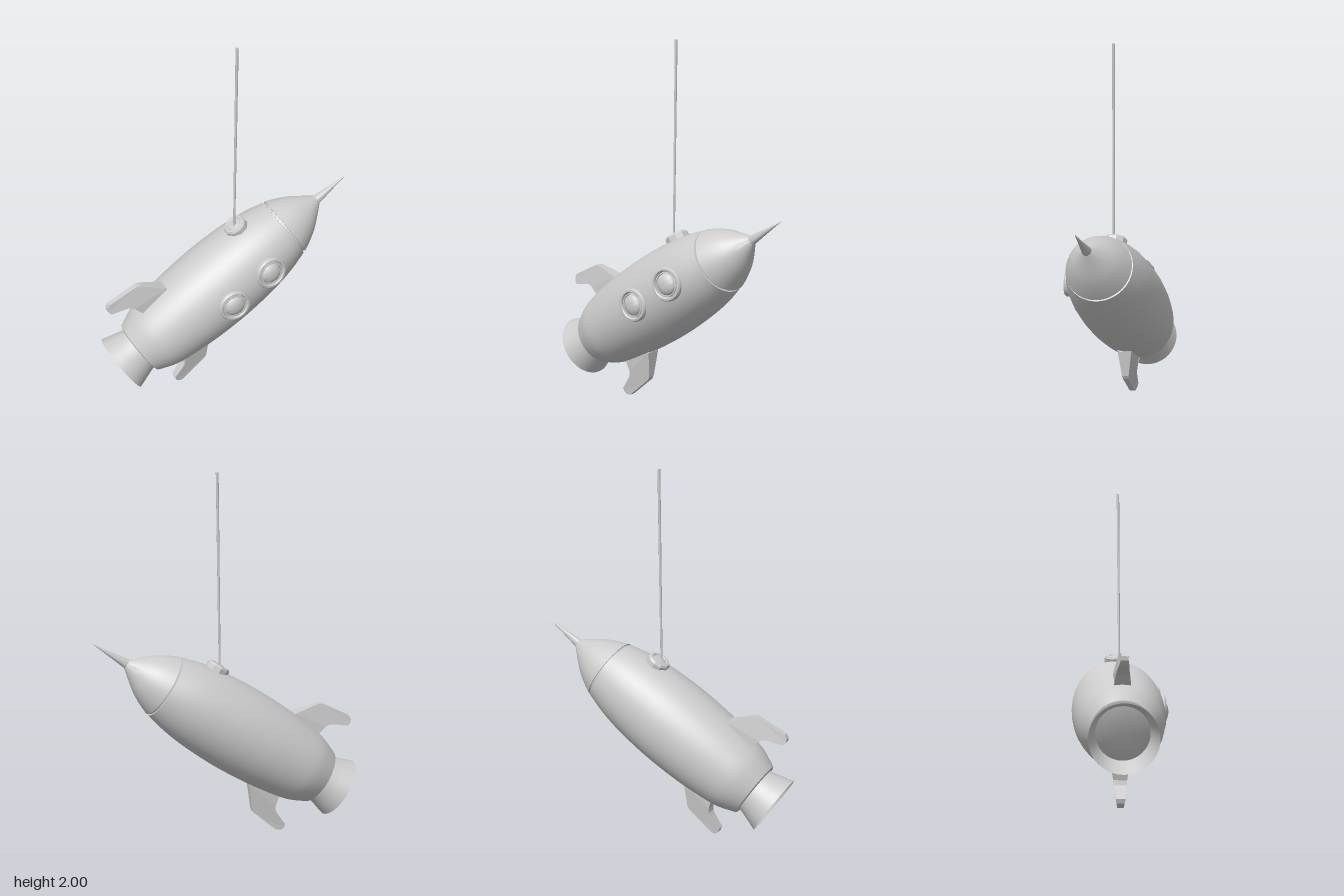
import * as THREE from 'three';
import { toCreasedNormals } from 'three/addons/utils/BufferGeometryUtils.js';

const grey = new THREE.MeshStandardMaterial({ color: 0xcccccc });
const greyDouble = new THREE.MeshStandardMaterial({ color: 0xcccccc, side: THREE.DoubleSide });

function part(name, geometry, material = grey) {
  const mesh = new THREE.Mesh(geometry, material);
  mesh.name = name;
  return mesh;
}

const vectors = (pts) => pts.map(([x, y]) => new THREE.Vector2(x, y));
const smooth = (pts, n) => new THREE.SplineCurve(vectors(pts)).getPoints(n).map((p) => [p.x, p.y]);

// Turned part from [radius, height] points, with sharp edges kept sharp
function turned(name, pts, segments = 40, material = grey) {
  return part(name, toCreasedNormals(new THREE.LatheGeometry(vectors(pts), segments), 0.5), material);
}

// Swept-back fin, thick at the root and thin at the tip
function finGeometry() {
  const outline = vectors([
    [0.17, 0.295], [0.22, 0.28], [0.265, 0.268], [0.287, 0.252], [0.298, 0.232], [0.329, 0.156],
    [0.35, 0.151], [0.37, 0.159], [0.382, 0.18], [0.378, 0.215], [0.36, 0.355], [0.35, 0.373],
    [0.235, 0.466], [0.17, 0.47],
  ]);
  const geo = new THREE.ExtrudeGeometry(new THREE.Shape(outline), { depth: 1, bevelEnabled: false });
  geo.translate(0, 0, -0.5);
  const pos = geo.attributes.position;
  for (let i = 0; i < pos.count; i++) {
    const t = THREE.MathUtils.clamp((pos.getX(i) - 0.23) / 0.14, 0, 1);
    pos.setZ(i, pos.getZ(i) * THREE.MathUtils.lerp(0.082, 0.032, t));
  }
  geo.computeVertexNormals();
  return geo;
}

export function createModel() {
  const model = new THREE.Group();
  model.name = 'hangingRocket';

  // Rocket frame: y runs from nozzle to tip, z to the windows, -x to the hanger
  const rocket = new THREE.Group();
  rocket.name = 'rocket';
  const axis = new THREE.Vector3(0.803, 0.543, 0.245).normalize();
  const side = new THREE.Vector3(-0.292, 0, 0.957).normalize();
  const across = new THREE.Vector3().crossVectors(axis, side).normalize();
  side.crossVectors(across, axis);
  rocket.quaternion.setFromRotationMatrix(new THREE.Matrix4().makeBasis(across, axis, side));
  rocket.position.set(-0.61, 0.225, -0.158);
  model.add(rocket);

  // Hull with closed tail
  const hull = smooth([
    [0.16, 0.135], [0.188, 0.2], [0.207, 0.26], [0.222, 0.36], [0.236, 0.5], [0.242, 0.66],
    [0.239, 0.8], [0.227, 0.95], [0.207, 1.07], [0.18, 1.17],
  ], 22);
  rocket.add(turned('hull', [[0, 0.13], [0.15, 0.13], ...hull, [0.17, 1.171]]));
  rocket.add(turned('noseSeam', [[0.171, 1.16], [0.171, 1.19]]));

  // Nose cone running into a spike
  const nose = smooth([[0.178, 1.182], [0.152, 1.24], [0.118, 1.3], [0.072, 1.36], [0.026, 1.415]], 10);
  rocket.add(turned('noseCone', [[0.168, 1.181], ...nose]));
  rocket.add(turned('noseSpike', [[0.026, 1.415], [0.013, 1.52], [0.0005, 1.631]], 16));

  // Flared open nozzle
  rocket.add(turned('nozzle', [[0.171, 0], [0.152, 0.06], [0.137, 0.11], [0.128, 0.16]], 40, greyDouble));

  // Two opposite fins
  const finGeo = finGeometry();
  ['lowerFin', 'upperFin'].forEach((name, i) => {
    const fin = part(name, finGeo);
    fin.rotation.y = i * Math.PI;
    rocket.add(fin);
  });

  // Portholes: raised rim, groove and domed glass
  const tilt = [[0.693, 0.242, 0], [0.958, 0.228, 0.1]];
  tilt.forEach(([height, radius, lean], i) => {
    const porthole = new THREE.Group();
    porthole.name = 'porthole' + (i + 1);
    porthole.add(turned('rim', [
      [0.091, -0.035], [0.091, -0.002], [0.086, 0.007], [0.075, 0.009], [0.07, 0.004], [0.068, -0.02],
    ], 32));
    porthole.add(turned('innerRim', [[0.068, -0.02], [0.066, 0.003], [0.059, 0.004], [0.057, -0.006]], 32));
    const dome = [];
    for (let k = 0; k <= 8; k++) {
      const a = (k / 8) * Math.PI / 2;
      dome.push([0.058 * Math.cos(a), -0.006 + 0.03 * Math.sin(a)]);
    }
    porthole.add(turned('glass', dome, 32));
    porthole.position.set(0, height, radius);
    porthole.rotation.x = Math.PI / 2 - lean;
    rocket.add(porthole);
  });

  // Ten-sided hanger boss
  const boss = turned('hangerBoss', [
    [0.066, -0.03], [0.066, 0.014], [0.058, 0.025], [0.045, 0.027], [0.04, 0.022], [0.012, 0.03], [0, 0.03],
  ], 10);
  boss.position.set(-0.226, 0.972, 0);
  boss.rotation.z = Math.PI / 2;
  rocket.add(boss);

  // Hanging cord
  const cord = part('cord', new THREE.CylinderGeometry(0.008, 0.006, 1.05, 8));
  cord.position.set(0.041, 1.475, 0.052);
  cord.rotation.z = -0.012;
  model.add(cord);

  return model;
}
